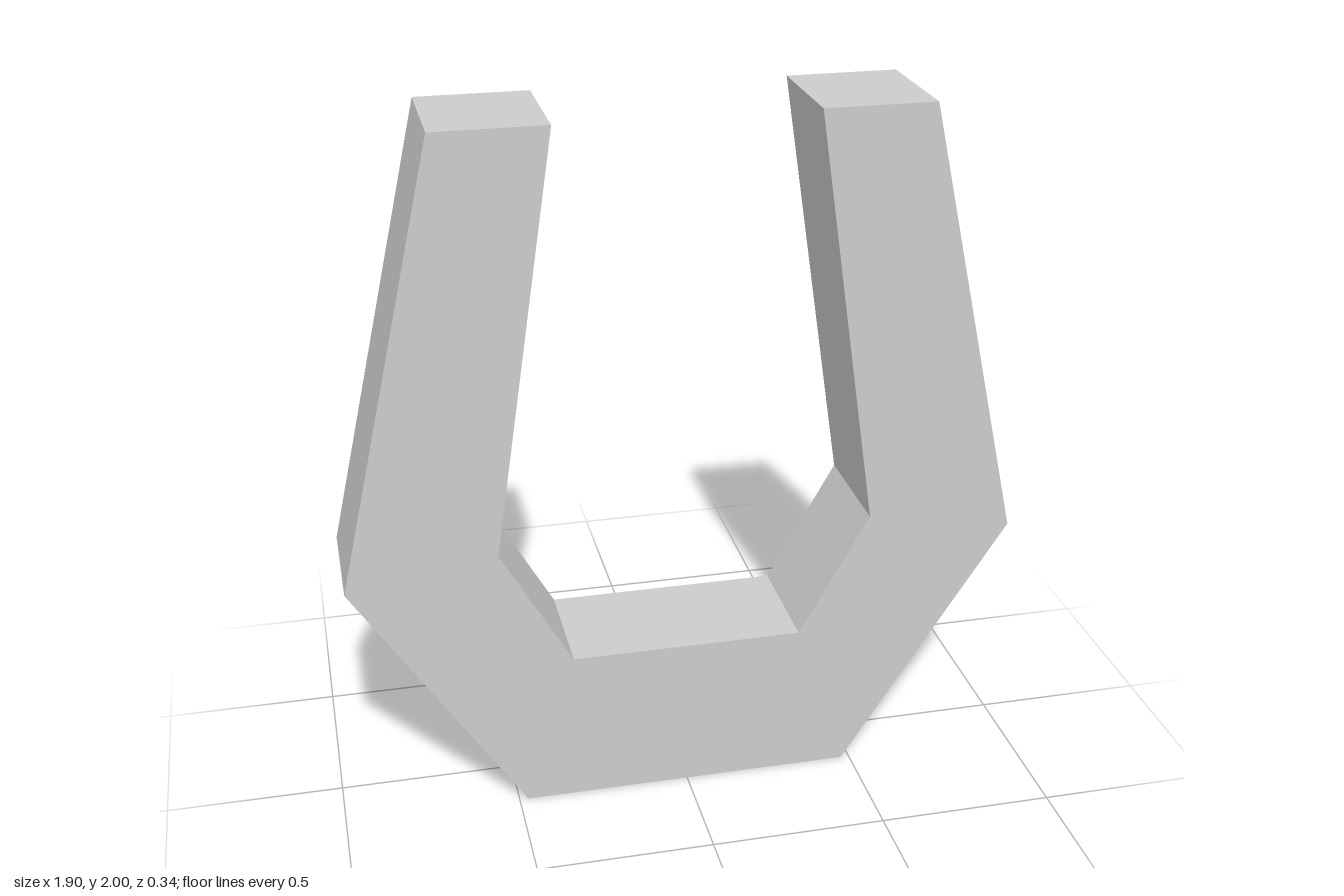
import * as THREE from 'three';

export function createModel() {
  const group = new THREE.Group();
  group.name = 'horseshoe';

  // Left half of the outline: outer edge going up, then inner edge coming down
  const half = [
    [0.475, 0], [0.95, 0.74], [0.66, 2],
    [0.35, 2], [0.53, 0.81], [0.33, 0.455],
  ];
  // Mirror it for the right half
  const mirrored = half.map(([x, y]) => [-x, y]).reverse();
  const outline = [...half, ...mirrored].map(([x, y]) => new THREE.Vector2(x, y));

  const depth = 0.344;
  const geometry = new THREE.ExtrudeGeometry(new THREE.Shape(outline), { depth, bevelEnabled: false });
  geometry.translate(0, 0, -depth / 2);

  const body = new THREE.Mesh(
    geometry,
    new THREE.MeshStandardMaterial({ color: 0xcccccc, flatShading: true })
  );
  body.name = 'horseshoeBody';
  group.add(body);
  return group;
}
